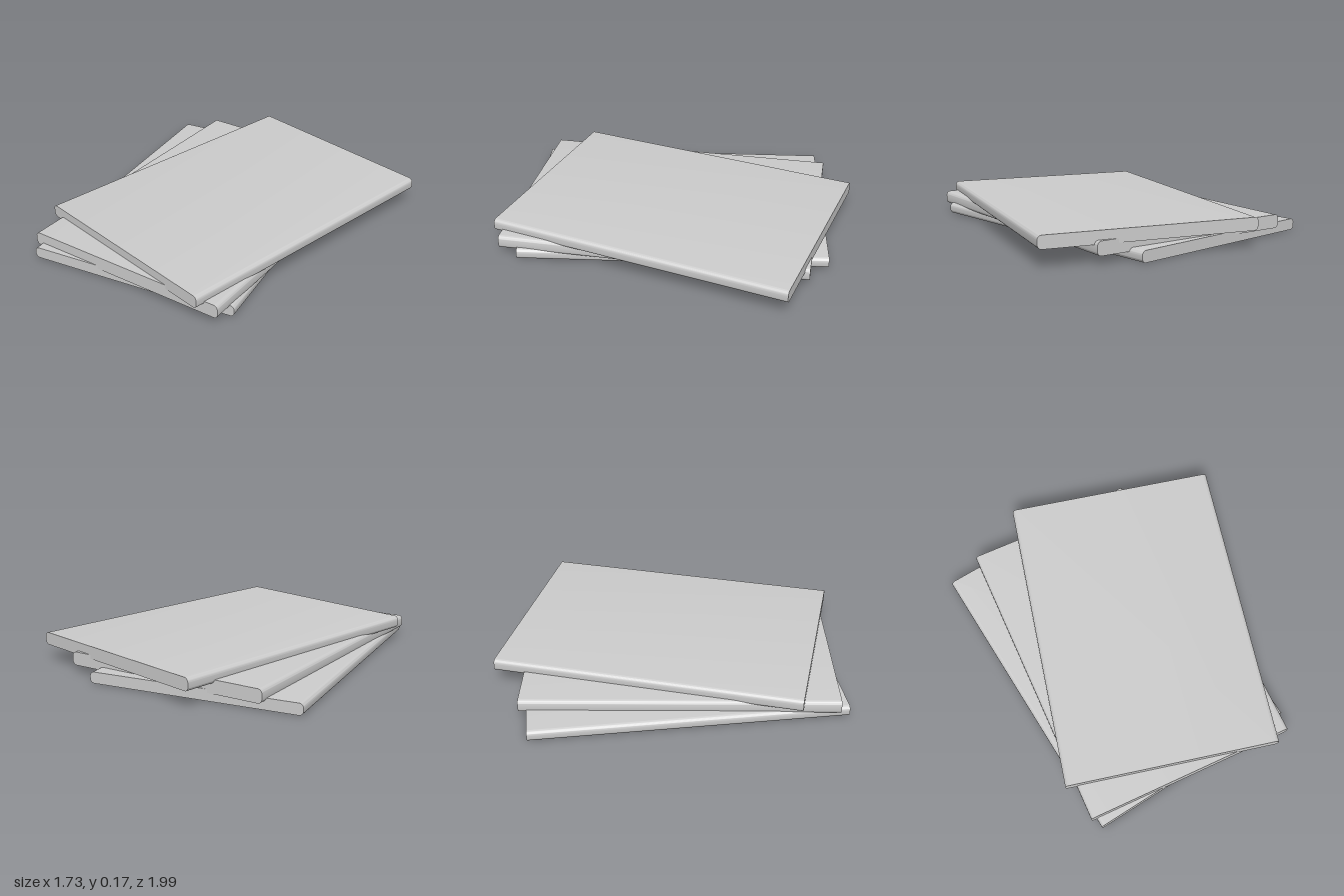
import * as THREE from 'three';
import { toCreasedNormals } from 'three/addons/utils/BufferGeometryUtils.js';

const WIDTH = 1.243, LENGTH = 1.763;

// Slab with rounded long edges and flat ends, centred in x and z, base at y = 0
function slabGeometry(height, radius) {
  const w = WIDTH / 2, r = radius;
  const s = new THREE.Shape();
  s.moveTo(-w + r, 0);
  s.lineTo(w - r, 0);
  s.absarc(w - r, r, r, -Math.PI / 2, 0, false);
  s.absarc(w - r, height - r, r, 0, Math.PI / 2, false);
  s.absarc(-w + r, height - r, r, Math.PI / 2, Math.PI, false);
  s.absarc(-w + r, r, r, Math.PI, Math.PI * 1.5, false);
  const geo = new THREE.ExtrudeGeometry(s, { depth: LENGTH, bevelEnabled: false, curveSegments: 8 });
  geo.translate(0, 0, -LENGTH / 2);
  return toCreasedNormals(geo, 0.7);
}

export function createModel() {
  const model = new THREE.Group();
  model.name = 'slabStack';
  const grey = new THREE.MeshStandardMaterial({ color: 0xcccccc });
  grey.name = 'lightGrey';

  // Three fanned slabs, each sunk slightly into the one below
  const slabs = [
    { name: 'bottomSlab', x: -0.135, z: 0.037, y: 0, height: 0.065, turn: 0.134 },
    { name: 'middleSlab', x: -0.05, z: 0.057, y: 0.045, height: 0.078, turn: 0 },
    { name: 'topSlab', x: 0.065, z: -0.005, y: 0.1, height: 0.073, turn: -0.22 },
  ];
  for (const { name, x, y, z, height, turn } of slabs) {
    const slab = new THREE.Mesh(slabGeometry(height, 0.025), grey);
    slab.name = name;
    slab.position.set(x, y, z);
    slab.rotation.y = turn;
    model.add(slab);
  }
  return model;
}
